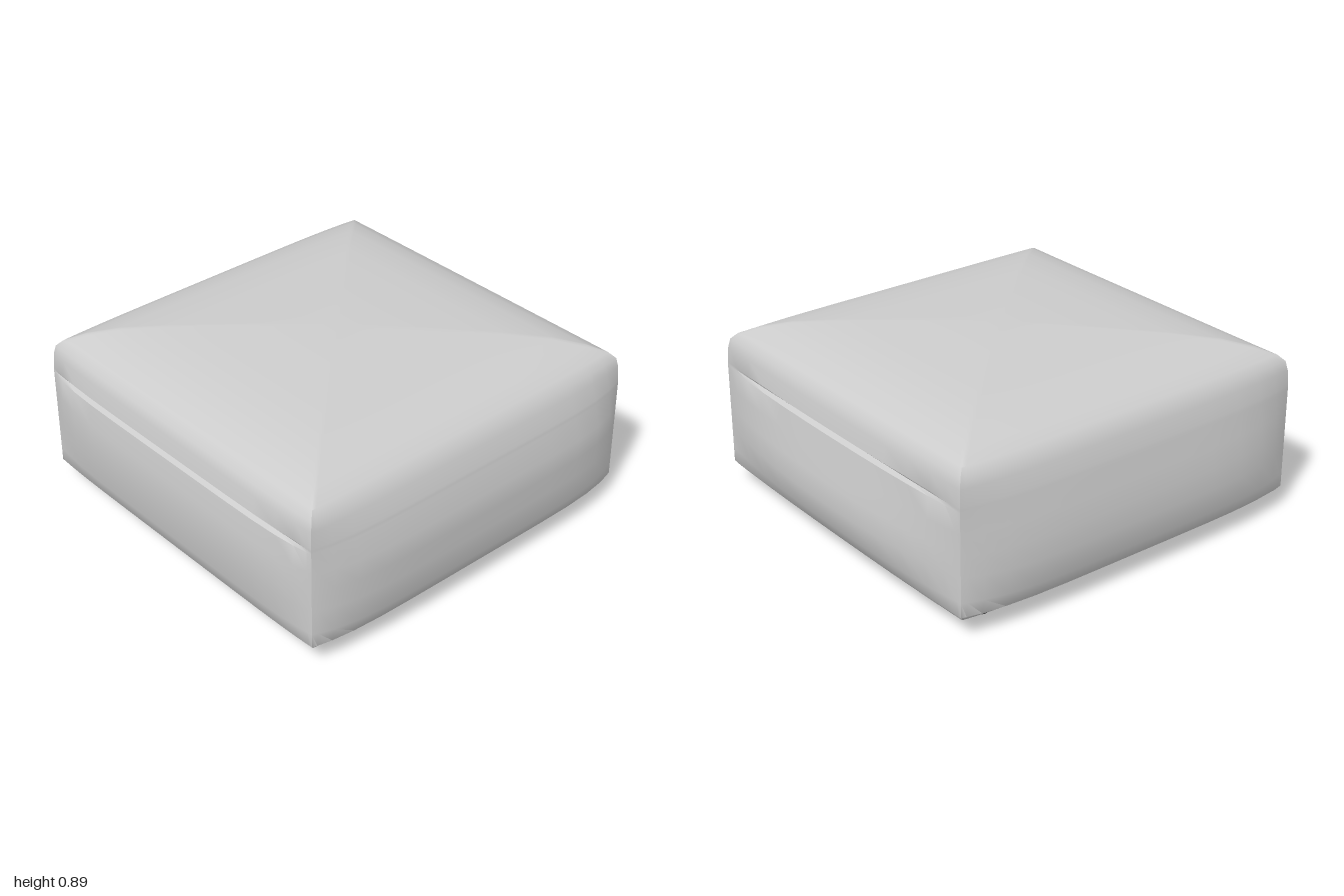
import * as THREE from 'three';
import { toCreasedNormals } from 'three/addons/utils/BufferGeometryUtils.js';

const STEPS = 14; // divisions along each side of a ring

// Corners of the square plan, counter-clockwise seen from above
const CORNERS = [[-0.945, 0.905], [0.915, 0.895], [0.915, -0.895], [-0.945, -0.905]];
// Outward direction of the front, right, back and left panels, and how flat each bulge is
const SIDES = [[0, 1, 6], [1, 0, 2.5], [0, -1, 5], [-1, 0, 6]];

// Upholstery rings: height, corner scale, then mid-side reach of front, right, back, left
const SKIN = [
  [0.19, 0.91, 0.82, 0.83, 0.82, 0.85],
  [0.10, 0.92, 0.83, 0.84, 0.83, 0.86],
  [0.08, 0.95, 0.87, 0.88, 0.87, 0.89],
  [0.085, 0.98, 0.91, 0.91, 0.91, 0.93],
  [0.11, 1.00, 0.95, 0.93, 0.95, 0.955],
  [0.18, 1.00, 0.98, 0.97, 0.98, 0.975],
  [0.30, 1.00, 0.985, 1.00, 0.99, 0.99],
  [0.40, 1.00, 0.99, 0.985, 0.985, 1.00],
  [0.50, 1.00, 0.99, 0.965, 0.97, 0.995],
  [0.60, 1.00, 0.955, 0.945, 0.95, 0.98],
  [0.612, 1.00, 0.953, 0.92, 0.948, 0.955], // seam groove on the side panels
  [0.625, 1.00, 0.95, 0.935, 0.945, 0.97],
  [0.70, 0.995, 0.92, 0.92, 0.925, 0.955],
  [0.745, 0.985, 0.90, 0.905, 0.905, 0.94],
  [0.775, 0.955, 0.865, 0.875, 0.875, 0.90],
  [0.81, 0.88, 0.80, 0.80, 0.81, 0.82],
  [0.842, 0.76, 0.69, 0.70, 0.70, 0.71],
  [0.862, 0.58, 0.53, 0.53, 0.53, 0.54],
  [0.875, 0.36, 0.33, 0.33, 0.33, 0.34],
  [0.885, 0.16, 0.15, 0.15, 0.15, 0.15],
  [0.888, 0, 0, 0, 0, 0],
];

// One closed outline whose sides swell from the corners to the given reach
function ringPoints([y, scale, ...reach]) {
  const points = [];
  SIDES.forEach(([nx, nz, power], s) => {
    const a = CORNERS[s], b = CORNERS[(s + 1) % 4];
    for (let i = 0; i < STEPS; i++) {
      const u = 0.5 - 0.5 * Math.cos(Math.PI * i / STEPS); // denser near corners
      const x = THREE.MathUtils.lerp(a[0], b[0], u) * scale;
      const z = THREE.MathUtils.lerp(a[1], b[1], u) * scale;
      const bulge = 1 - Math.pow(Math.abs(2 * u - 1), power);
      const push = (reach[s] - (x * nx + z * nz)) * bulge;
      points.push(x + nx * push, y, z + nz * push);
    }
  });
  return points;
}

function skinGeometry(rings) {
  const count = STEPS * 4, index = [];
  for (let r = 0; r < rings.length - 1; r++) {
    for (let i = 0; i < count; i++) {
      const j = (i + 1) % count;
      const a = r * count + i, b = r * count + j;
      const c = b + count, d = a + count;
      index.push(a, b, d);
      if (r < rings.length - 2) index.push(b, c, d);
    }
  }
  const geometry = new THREE.BufferGeometry();
  geometry.setAttribute('position', new THREE.Float32BufferAttribute(rings.flatMap(ringPoints), 3));
  geometry.setIndex(index);
  return toCreasedNormals(geometry, 0.75);
}

export function createModel() {
  const group = new THREE.Group();
  const fabric = new THREE.MeshStandardMaterial({ color: 0xcccccc, side: THREE.DoubleSide });
  const darkFoot = new THREE.MeshStandardMaterial({ color: 0x444444 });

  const add = (name, geometry, material, x = 0, y = 0, z = 0) => {
    const mesh = new THREE.Mesh(geometry, material);
    mesh.name = name;
    mesh.position.set(x, y, z);
    group.add(mesh);
  };

  // Padded cover with a turned-in lower hem
  add('cushionCover', skinGeometry(SKIN), fabric);

  // Recessed board under the seat
  add('basePanel', new THREE.BoxGeometry(1.72, 0.02, 1.68), fabric, -0.01, 0.2, 0);

  // Four stubby feet
  const profile = [[0, 0], [0.055, 0], [0.068, 0.012], [0.074, 0.06], [0.066, 0.075], [0.062, 0.19]]
    .map(([r, y]) => new THREE.Vector2(r, y));
  const footGeometry = toCreasedNormals(new THREE.LatheGeometry(profile, 10), 0.7);
  for (const [side, x] of [['Right', -0.765], ['Left', 0.71]]) {
    for (const [end, z] of [['front', 0.71], ['back', -0.735]]) {
      add(`${end}${side}Foot`, footGeometry, darkFoot, x, 0, z);
    }
  }
  return group;
}
